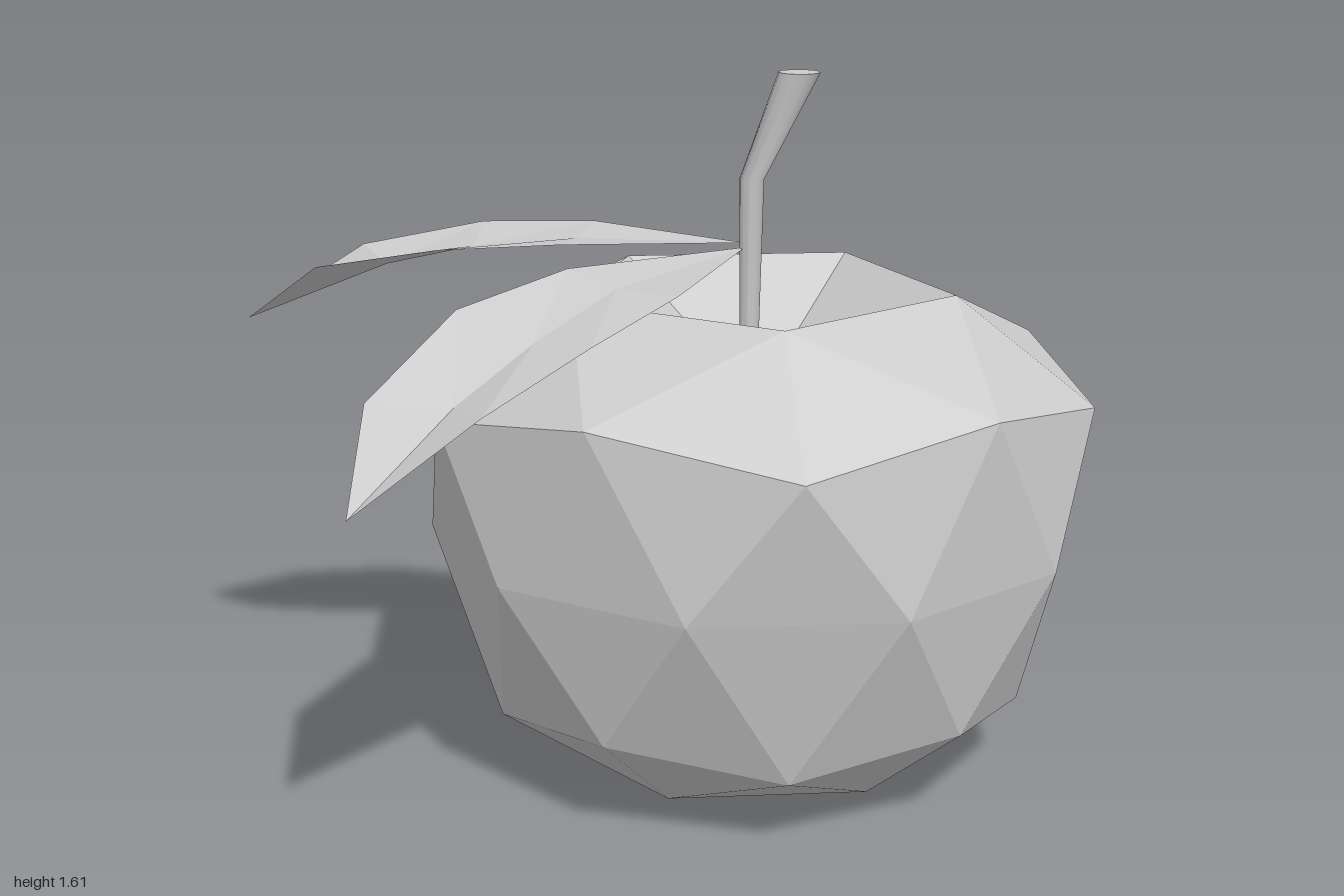
import * as THREE from 'three';

const CX = 0.23, CZ = -0.185; // axis of the fruit

function facetted(points, index) {
  const g = new THREE.BufferGeometry();
  g.setAttribute('position', new THREE.Float32BufferAttribute(points.flat(), 3));
  g.setIndex(index);
  const flat = g.toNonIndexed();
  flat.computeVertexNormals();
  return flat;
}

// Subdivided icosahedron in rings, with dimples at both poles
function fruitGeometry() {
  const points = [];
  const ring = (count, offset, radii, heights) => {
    const start = points.length;
    for (let i = 0; i < count; i++) {
      const a = THREE.MathUtils.degToRad(offset + (360 / count) * i);
      const r = radii[i % radii.length];
      points.push([CX + r * Math.cos(a), heights[i % heights.length], CZ + r * Math.sin(a)]);
    }
    return (i) => start + (i % count);
  };
  const P = ring(1, 0, [0], [0.85])(0);
  const A = ring(5, 0, [0.452], [1.12]);
  const B = ring(10, 0, [0.77, 0.73], [0.88, 0.95]);
  const C = ring(10, 18, [0.75], [0.565]);
  const D = ring(10, 0, [0.628, 0.66], [0.17, 0.23]);
  const E = ring(5, 36, [0.387], [0]);
  const Q = ring(1, 0, [0], [0.26])(0);

  const f = [];
  for (let k = 0; k < 5; k++) {
    const j = 2 * k;
    f.push(P, A(k + 1), A(k)); // top dimple
    f.push(A(k), A(k + 1), B(j + 1), A(k), B(j + 1), B(j), A(k + 1), B(j + 2), B(j + 1));
    f.push(D(j + 1), D(j + 2), E(k), D(j + 2), D(j + 3), E(k + 1), D(j + 2), E(k + 1), E(k));
    f.push(E(k), E(k + 1), Q); // bottom dimple
  }
  for (let j = 0; j < 10; j++) {
    f.push(B(j), B(j + 1), C(j), B(j + 1), C(j + 1), C(j));
    f.push(C(j), C(j + 1), D(j + 1), C(j), D(j + 1), D(j));
  }
  return facetted(points, f);
}

// Bent stem: level cross-sections at three heights
function stemGeometry() {
  const levels = [
    { x: 0.325, y: 1.61, r: 0.047 },
    { x: 0.222, y: 1.37, r: 0.028 },
    { x: 0.22, y: 0.85, r: 0.02 },
  ];
  const g = new THREE.CylinderGeometry(1, 1, 2, 12, 2);
  const p = g.attributes.position;
  for (let i = 0; i < p.count; i++) {
    const l = levels[Math.round(1 - p.getY(i))];
    p.setXYZ(i, l.x + p.getX(i) * l.r, l.y, -0.147 + p.getZ(i) * l.r);
  }
  g.computeVertexNormals();
  return g;
}

// Folded leaf: rows of [left edge, midrib, right edge] between base and tip
function leafGeometry(base, rows, tip) {
  const points = [base, ...rows.flat(), tip];
  const last = points.length - 1;
  const f = [];
  for (let s = 0; s < 2; s++) {
    f.push(0, 1 + s, 2 + s);
    for (let r = 0; r < rows.length - 1; r++) {
      const a = 1 + r * 3 + s;
      f.push(a, a + 3, a + 4, a, a + 4, a + 1);
    }
    const e = last - 3 + s;
    f.push(e, last, e + 1);
  }
  return facetted(points, f);
}

export function createModel() {
  const group = new THREE.Group();
  const grey = new THREE.MeshStandardMaterial({ color: 0xcccccc });
  grey.name = 'light grey';
  grey.side = THREE.DoubleSide;

  const add = (name, geometry) => {
    const mesh = new THREE.Mesh(geometry, grey);
    mesh.name = name;
    group.add(mesh);
  };

  add('fruit', fruitGeometry());
  add('stem', stemGeometry());
  add('sideLeaf', leafGeometry([0.21, 1.225, -0.145], [
    [[-0.18, 1.232, -0.295], [-0.18, 1.218, -0.15], [-0.18, 1.23, 0]],
    [[-0.46, 1.215, -0.32], [-0.43, 1.19, -0.14], [-0.46, 1.215, 0.055]],
    [[-0.74, 1.16, -0.25], [-0.64, 1.14, -0.13], [-0.75, 1.16, 0.04]],
  ], [-1, 0.988, -0.145]));
  add('frontLeaf', leafGeometry([0.21, 1.215, -0.145], [
    [[-0.13, 1.205, 0.13], [0.0, 1.185, 0.22], [0.15, 1.19, 0.29]],
    [[-0.31, 1.155, 0.36], [-0.12, 1.11, 0.43], [0.025, 1.13, 0.53]],
    [[-0.42, 1.015, 0.63], [-0.24, 1.01, 0.6], [-0.14, 1.03, 0.74]],
  ], [-0.353, 0.865, 0.925]));
  return group;
}
